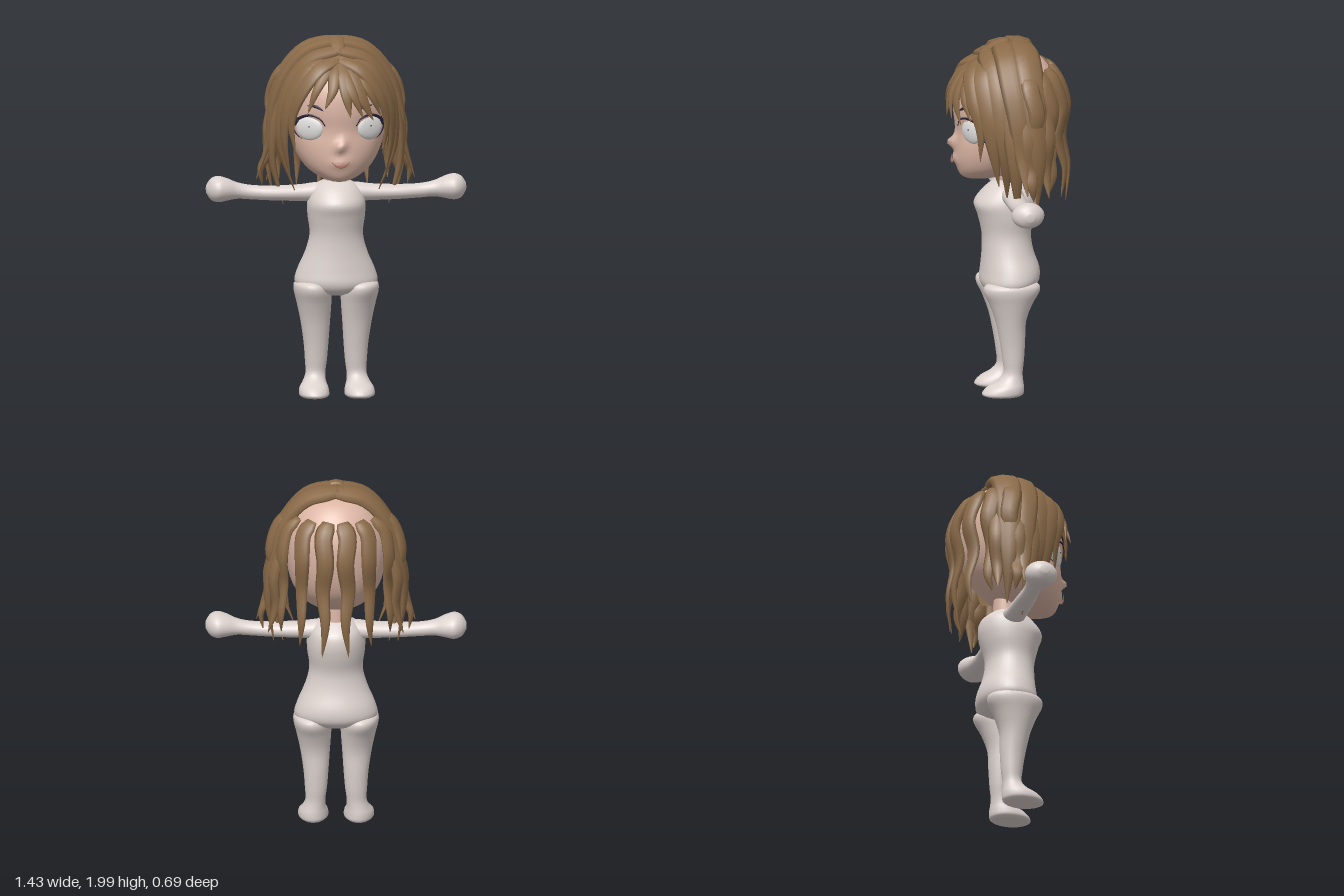
import * as THREE from 'three';

const mat = (name, color, side = THREE.FrontSide) => {
  const m = new THREE.MeshStandardMaterial({ color, side });
  m.name = name;
  return m;
};
const V = (x, y, z) => new THREE.Vector3(x, y, z);

// Catmull-Rom interpolation through rows of numbers
function smoothRows(rows, steps = 4) {
  const out = [], last = rows.length - 1;
  for (let i = 0; i < last; i++) {
    const [a, b, c, d] = [rows[Math.max(i - 1, 0)], rows[i], rows[i + 1], rows[Math.min(i + 2, last)]];
    for (let s = 0; s < steps; s++) {
      const t = s / steps;
      out.push(b.map((_, k) => b[k] + 0.5 * t * (c[k] - a[k] + t * (2 * a[k] - 5 * b[k] + 4 * c[k] - d[k] + t * (3 * (b[k] - c[k]) + d[k] - a[k])))));
    }
  }
  out.push(rows[last]);
  return out;
}

// Skin a list of point rings, closing both ends
function skin(rings, closed = true) {
  const n = rings[0].length, pos = [], idx = [];
  rings.forEach(r => r.forEach(p => pos.push(p.x, p.y, p.z)));
  for (let i = 0; i < rings.length - 1; i++) {
    for (let j = 0; j < (closed ? n : n - 1); j++) {
      const a = i * n + j, b = i * n + (j + 1) % n;
      idx.push(a, b, b + n, a, b + n, a + n);
    }
  }
  if (closed) [0, rings.length - 1].forEach((r, end) => {
    const c = rings[r].reduce((s, p) => s.add(p), V(0, 0, 0)).divideScalar(n);
    const k = pos.length / 3;
    pos.push(c.x, c.y, c.z);
    for (let j = 0; j < n; j++) {
      const a = r * n + j, b = r * n + (j + 1) % n;
      end ? idx.push(a, b, k) : idx.push(b, a, k);
    }
  });
  const g = new THREE.BufferGeometry();
  g.setAttribute('position', new THREE.Float32BufferAttribute(pos, 3));
  g.setIndex(idx);
  g.computeVertexNormals();
  return g;
}

// Rows are [height, centre x, half width, front z, back z]
function loft(rows, seg = 28, shape = p => p) {
  return skin(smoothRows(rows).map(([y, cx, hw, zf, zb]) => Array.from({ length: seg }, (_, j) => {
    const a = j / seg * Math.PI * 2;
    return shape(V(cx + hw * Math.sin(a), y, (zf + zb) / 2 + (zf - zb) / 2 * Math.cos(a)));
  })));
}

function mirror(geo) {
  const g = geo.clone().scale(-1, 1, 1), ix = g.index.array;
  for (let i = 0; i < ix.length; i += 3) [ix[i], ix[i + 1]] = [ix[i + 1], ix[i]];
  g.computeVertexNormals();
  return g;
}

const taper = t => Math.min(1, 0.65 + 3.5 * t) * (1 - 0.97 * t ** 3);

// Tapered lock with a lens section, lying flat against the head
function strand(points, width, thick, { profile = taper, steps = 18, seg = 8 } = {}) {
  const curve = new THREE.CatmullRomCurve3(points.map(p => V(...p)));
  const rings = [];
  for (let i = 0; i <= steps; i++) {
    const t = i / steps, p = curve.getPoint(t), T = curve.getTangent(t);
    const N = p.clone().sub(V(0, Math.min(p.y, 1.58), 0));
    N.addScaledVector(T, -N.dot(T)).normalize();
    const S = T.clone().cross(N), k = profile(t);
    rings.push(Array.from({ length: seg }, (_, j) => {
      const a = j / seg * Math.PI * 2;
      return p.clone().addScaledVector(N, thick * Math.min(1, k + 0.05) * Math.cos(a)).addScaledVector(S, width * k * Math.sin(a));
    }));
  }
  return skin(rings);
}

export function createModel() {
  const root = new THREE.Group();
  root.name = 'character';
  const body = mat('pale body', 0xdbd1cd), skinMat = mat('skin', 0xdcb6a5);
  const hair = mat('brown hair', 0x8a6a48, THREE.DoubleSide), white = mat('eye white', 0xe0dedc);
  const dark = mat('dark lash', 0x2a2038), lip = mat('lip', 0xb57f70);
  const add = (name, geo, m) => {
    const mesh = new THREE.Mesh(geo, m);
    mesh.name = name;
    root.add(mesh);
    return mesh;
  };
  const pair = (name, geo, m) => { add(name + 'Left', geo, m); add(name + 'Right', mirror(geo), m); };

  // Torso, legs and arms
  add('torso', loft([
    [0.56, 0, 0.06, 0.06, -0.05], [0.585, 0, 0.17, 0.135, -0.11], [0.63, 0, 0.227, 0.163, -0.16], [0.7, 0, 0.215, 0.158, -0.165],
    [0.8, 0, 0.172, 0.15, -0.132], [0.9, 0, 0.147, 0.152, -0.12], [1.0, 0, 0.158, 0.175, -0.147], [1.07, 0, 0.16, 0.195, -0.16],
    [1.13, 0, 0.145, 0.155, -0.15], [1.17, 0, 0.115, 0.11, -0.11], [1.195, 0, 0.07, 0.065, -0.075]], 36), body);
  pair('leg', loft([
    [0, 0.125, 0.065, 0.15, -0.045], [0.015, 0.125, 0.083, 0.172, -0.06], [0.05, 0.125, 0.08, 0.145, -0.062], [0.085, 0.12, 0.064, 0.085, -0.058],
    [0.13, 0.113, 0.055, 0.05, -0.056], [0.2, 0.11, 0.061, 0.055, -0.064], [0.3, 0.11, 0.069, 0.07, -0.07], [0.42, 0.115, 0.082, 0.095, -0.075],
    [0.52, 0.122, 0.096, 0.13, -0.11], [0.59, 0.13, 0.104, 0.162, -0.148], [0.63, 0.135, 0.092, 0.15, -0.14], [0.65, 0.13, 0.05, 0.08, -0.08]]), body);
  pair('arm', loft([
    [0.06, -1.13, 0.03, 0.04, -0.04], [0.1, -1.13, 0.052, 0.062, -0.06], [0.2, -1.125, 0.046, 0.06, -0.055], [0.35, -1.125, 0.041, 0.058, -0.05],
    [0.46, -1.13, 0.04, 0.047, -0.043], [0.54, -1.14, 0.045, 0.052, -0.05], [0.6, -1.148, 0.062, 0.08, -0.074], [0.65, -1.15, 0.072, 0.095, -0.086],
    [0.69, -1.15, 0.058, 0.07, -0.06], [0.715, -1.15, 0.02, 0.025, -0.02]], 24).rotateZ(-Math.PI / 2), body);

  // Neck and head, with nose, lips and eye sockets shaped by soft bumps
  add('neck', new THREE.CylinderGeometry(0.06, 0.068, 0.24, 24).translate(0, 1.27, -0.01), skinMat);
  const headRows = [
    [1.215, 0, 0.05, 0.24, 0.08], [1.235, 0, 0.105, 0.272, 0.0], [1.28, 0, 0.17, 0.292, -0.09], [1.34, 0, 0.215, 0.303, -0.16],
    [1.41, 0, 0.247, 0.303, -0.215], [1.5, 0, 0.268, 0.298, -0.25], [1.6, 0, 0.28, 0.308, -0.265], [1.7, 0, 0.273, 0.3, -0.265],
    [1.79, 0, 0.243, 0.265, -0.24], [1.86, 0, 0.195, 0.205, -0.195], [1.91, 0, 0.125, 0.13, -0.13], [1.93, 0, 0.04, 0.04, -0.04]];
  const bump = (x, y, cx, cy, sx, sy) => Math.exp(-(((x - cx) / sx) ** 2) - ((y - cy) / sy) ** 2);
  add('head', loft(headRows, 64, p => {
    if (p.z > 0.1) p.z += 0.045 * bump(p.x, p.y, 0, 1.42, 0.026, 0.032) + 0.014 * bump(p.x, p.y, 0, 1.325, 0.05, 0.025)
      - 0.012 * bump(Math.abs(p.x), p.y, 0.15, 1.51, 0.06, 0.06);
    return p;
  }), skinMat);
  const fine = smoothRows(headRows, 12);
  const onFace = (x, y, lift = 0.004) => {
    const r = fine.reduce((m, q) => Math.abs(q[0] - y) < Math.abs(m[0] - y) ? q : m);
    return [x, y, (r[3] + r[4]) / 2 + (r[3] - r[4]) / 2 * Math.sqrt(Math.max(0, 1 - (x / r[2]) ** 2)) + lift];
  };

  // Eyes, lashes, brows and mouth
  const eye = new THREE.SphereGeometry(1, 28, 18).scale(0.082, 0.069, 0.024).rotateY(0.55).translate(0.165, 1.515, 0.232);
  pair('eye', eye, white);
  pair('pupil', new THREE.SphereGeometry(0.005, 8, 6).translate(0.17, 1.525, 0.254), dark);
  const thinEnds = t => 0.12 + 0.88 * Math.sin(Math.PI * t);
  const line = (pts, lift) => pts.map(([x, y]) => onFace(x, y, lift));
  pair('upperLash', strand(line([[0.085, 1.53], [0.11, 1.568], [0.16, 1.588], [0.21, 1.573], [0.24, 1.54], [0.262, 1.51]], 0.012), 0.012, 0.006, { profile: t => 0.2 + 0.8 * t }), dark);
  pair('lashWing', strand([[0.225, 1.555, 0.2], [0.25, 1.53, 0.175], [0.285, 1.53, 0.15]], 0.022, 0.006, { profile: t => 1 - 0.95 * t, steps: 6 }), dark);
  pair('lowerLash', strand(line([[0.2, 1.449], [0.23, 1.47], [0.252, 1.51]], 0.008), 0.007, 0.004, { profile: t => 0.1 + 0.9 * t, steps: 8 }), dark);
  pair('brow', strand(line([[0.095, 1.615], [0.13, 1.636], [0.18, 1.64]], 0.004), 0.008, 0.004, { profile: thinEnds, steps: 8 }), dark);
  add('mouth', strand([[-0.05, 1.333, 0.309], [-0.025, 1.318, 0.317], [0, 1.313, 0.32], [0.025, 1.318, 0.317], [0.05, 1.333, 0.309]], 0.013, 0.004, { profile: thinEnds }), lip);

  // Front hair cap, with a hairline that rises over the forehead
  const hairline = [[0, 1.79], [0.55, 1.78], [0.8, 1.66], [1.05, 1.5], [1.3, 1.38], [1.9, 1.35]];
  const lineY = a => {
    const i = Math.max(1, hairline.findIndex(h => h[0] >= a));
    const [p, q] = [hairline[i - 1], hairline[i]];
    return THREE.MathUtils.mapLinear(a, p[0], q[0], p[1], q[1]);
  };
  const capRings = [];
  for (let i = 0; i <= 14; i++) capRings.push(Array.from({ length: 41 }, (_, j) => {
    const a = (j / 20 - 1) * 1.85, th = Math.acos((lineY(Math.abs(a)) - 1.56) / 0.39) * (1 - i / 14);
    return V(0.315 * Math.sin(th) * Math.sin(a), 1.56 + 0.39 * Math.cos(th), 0.315 * Math.sin(th) * Math.cos(a));
  }));
  add('hairCap', skin(capRings, false), hair);

  // Crown and side locks, falling from the centre parting
  const sideLocks = [
    [[[-0.02, 1.965, -0.06], [0.16, 1.925, -0.065], [0.285, 1.79, -0.075], [0.355, 1.56, -0.09], [0.375, 1.35, -0.1], [0.34, 1.1, -0.1]], 0.085, 0.032],
    [[[-0.02, 1.965, 0.035], [0.16, 1.92, 0.03], [0.285, 1.78, 0.02], [0.35, 1.6, 0.0], [0.375, 1.4, -0.01], [0.435, 1.2, -0.03]], 0.08, 0.03],
    [[[-0.02, 1.93, 0.12], [0.15, 1.885, 0.115], [0.265, 1.75, 0.1], [0.318, 1.55, 0.085], [0.315, 1.38, 0.07], [0.23, 1.14, 0.05]], 0.075, 0.026],
    [[[0.3, 1.72, -0.03], [0.37, 1.5, -0.05], [0.37, 1.34, -0.05], [0.41, 1.25, -0.06], [0.4, 1.16, -0.07]], 0.05, 0.028],
    [[[0.3, 1.7, 0.04], [0.345, 1.5, 0.04], [0.35, 1.3, 0.02], [0.29, 1.06, 0.0]], 0.05, 0.025],
    [[[0.28, 1.7, -0.13], [0.34, 1.5, -0.16], [0.33, 1.32, -0.15], [0.37, 1.17, -0.16]], 0.05, 0.025],
    [[[0, 1.885, 0.17], [0.12, 1.83, 0.235], [0.215, 1.7, 0.24], [0.262, 1.55, 0.205], [0.24, 1.36, 0.2]], 0.05, 0.018],
    [[[0, 1.9, 0.15], [0.17, 1.83, 0.19], [0.27, 1.66, 0.175], [0.297, 1.45, 0.14], [0.26, 1.22, 0.1]], 0.062, 0.02]];
  sideLocks.forEach(([pts, w, t], i) => pair('sideLock' + (i + 1), strand(pts, w, t, { steps: 24 }), hair));
  add('partingTuft', strand([[0, 1.975, 0.0], [0, 1.965, 0.06], [0, 1.925, 0.13], [0, 1.86, 0.2]], 0.05, 0.022), hair);

  // Fringe sweeping over the forehead
  [[[[0, 1.88, 0.17], [0.02, 1.8, 0.275], [0.03, 1.7, 0.335], [0.05, 1.585, 0.355]], 0.042],
    [[[0.02, 1.87, 0.18], [0.07, 1.8, 0.265], [0.12, 1.68, 0.315], [0.18, 1.56, 0.3]], 0.045],
    [[[0, 1.87, 0.18], [0.03, 1.8, 0.275], [0.07, 1.7, 0.335], [0.12, 1.58, 0.34]], 0.035],
    [[[-0.01, 1.87, 0.18], [-0.03, 1.81, 0.265], [-0.045, 1.73, 0.32], [-0.09, 1.63, 0.34]], 0.038],
    [[[-0.02, 1.87, 0.18], [-0.08, 1.81, 0.255], [-0.135, 1.72, 0.29], [-0.18, 1.6, 0.285]], 0.033],
    [[[0.03, 1.87, 0.18], [0.11, 1.8, 0.25], [0.17, 1.7, 0.28], [0.225, 1.58, 0.25]], 0.036]
  ].forEach(([pts, w], i) => add('fringe' + (i + 1), strand(pts, w, 0.016), hair));

  // Wavy locks hanging around the back of the head
  [0.19, 0.57, 0.95, 1.3].forEach((a, i) => {
    const wave = [[1.84, 0.225], [1.77, 0.278], [1.63, 0.318], [1.46, 0.295], [1.28, 0.325], [1.08 + 0.05 * i, 0.31]];
    const pts = wave.map(([y, r], k) => {
      const b = a + (k % 2 ? 0.03 : -0.03);
      return [r * (1.08 + 0.04 * i) * Math.sin(b), y, -r * Math.cos(b)];
    });
    pair('backLock' + (i + 1), strand(pts, 0.052, 0.022, { steps: 22 }), hair);
  });
  return root;
}
